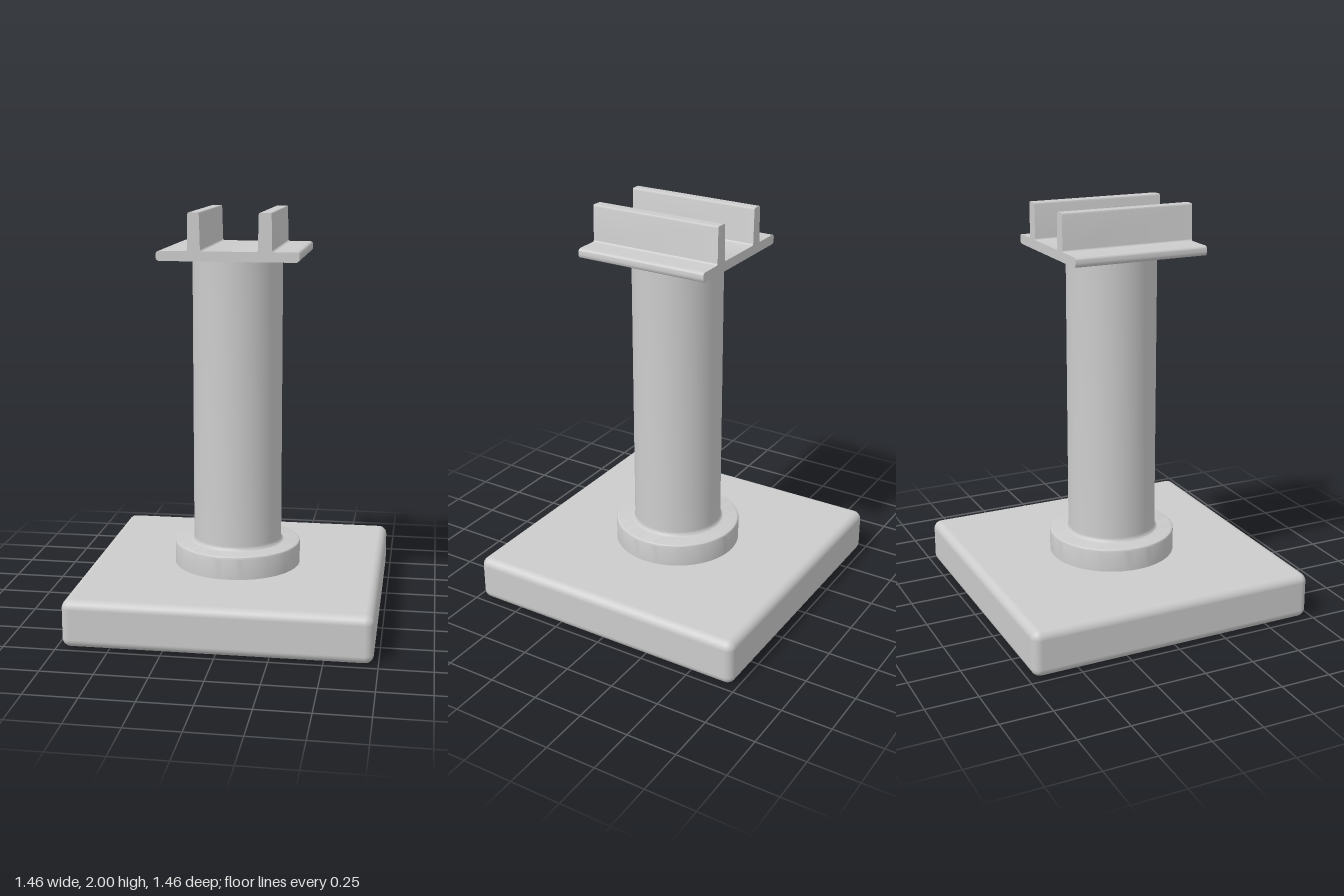
import * as THREE from 'three';
import { toCreasedNormals } from 'three/addons/utils/BufferGeometryUtils.js';
import { RoundedBoxGeometry } from 'three/addons/geometries/RoundedBoxGeometry.js';

const material = new THREE.MeshStandardMaterial({ color: 0xcccccc });

function addPart(group, name, geometry) {
  const mesh = new THREE.Mesh(geometry, material);
  mesh.name = name;
  group.add(mesh);
  return mesh;
}

// Closed outline from [x, y, corner radius] points
function roundedOutline(points) {
  const shape = new THREE.Shape();
  const n = points.length;
  points.forEach(([x, y, r], i) => {
    const corner = new THREE.Vector2(x, y);
    const towards = ([px, py]) =>
      new THREE.Vector2(px, py).sub(corner).setLength(r).add(corner);
    const a = towards(points[(i + n - 1) % n]);
    const b = towards(points[(i + 1) % n]);
    if (i === 0) shape.moveTo(a.x, a.y);
    else shape.lineTo(a.x, a.y);
    shape.quadraticCurveTo(x, y, b.x, b.y);
  });
  shape.closePath();
  return shape;
}

export function createModel() {
  const model = new THREE.Group();
  model.name = 'pedestalStand';

  // Square base slab with softened edges
  addPart(model, 'base', new RoundedBoxGeometry(1.456, 0.23, 1.456, 5, 0.042))
    .position.y = 0.115;

  // Collar and column turned as one piece, with a small fillet between them
  const profile = new THREE.Path();
  profile.moveTo(0.315, 0.22);
  profile.lineTo(0.315, 0.333);
  profile.quadraticCurveTo(0.315, 0.345, 0.303, 0.345);
  profile.lineTo(0.24, 0.345);
  profile.quadraticCurveTo(0.22, 0.345, 0.22, 0.37);
  profile.lineTo(0.22, 1.79);
  const column = new THREE.LatheGeometry(profile.getPoints(6), 72);
  addPart(model, 'columnAndCollar', toCreasedNormals(column, 0.6));

  // Top plate with two upright rails, one section run along z
  const bottom = 1.775, deck = 1.822, top = 2;
  const section = roundedOutline([
    [-0.335, bottom, 0.018], [0.335, bottom, 0.018], [0.335, deck, 0.018],
    [0.209, deck, 0.012], [0.206, top, 0.008], [0.147, top, 0.008], [0.143, deck, 0.012],
    [-0.126, deck, 0.012], [-0.131, top, 0.008], [-0.184, top, 0.008], [-0.187, deck, 0.012],
    [-0.335, deck, 0.018],
  ]);
  const depth = 0.67;
  const cradle = new THREE.ExtrudeGeometry(section, { depth, bevelEnabled: false, curveSegments: 6 });
  cradle.translate(0, 0, -depth / 2);
  addPart(model, 'railedTopPlate', toCreasedNormals(cradle, 0.6));

  return model;
}
